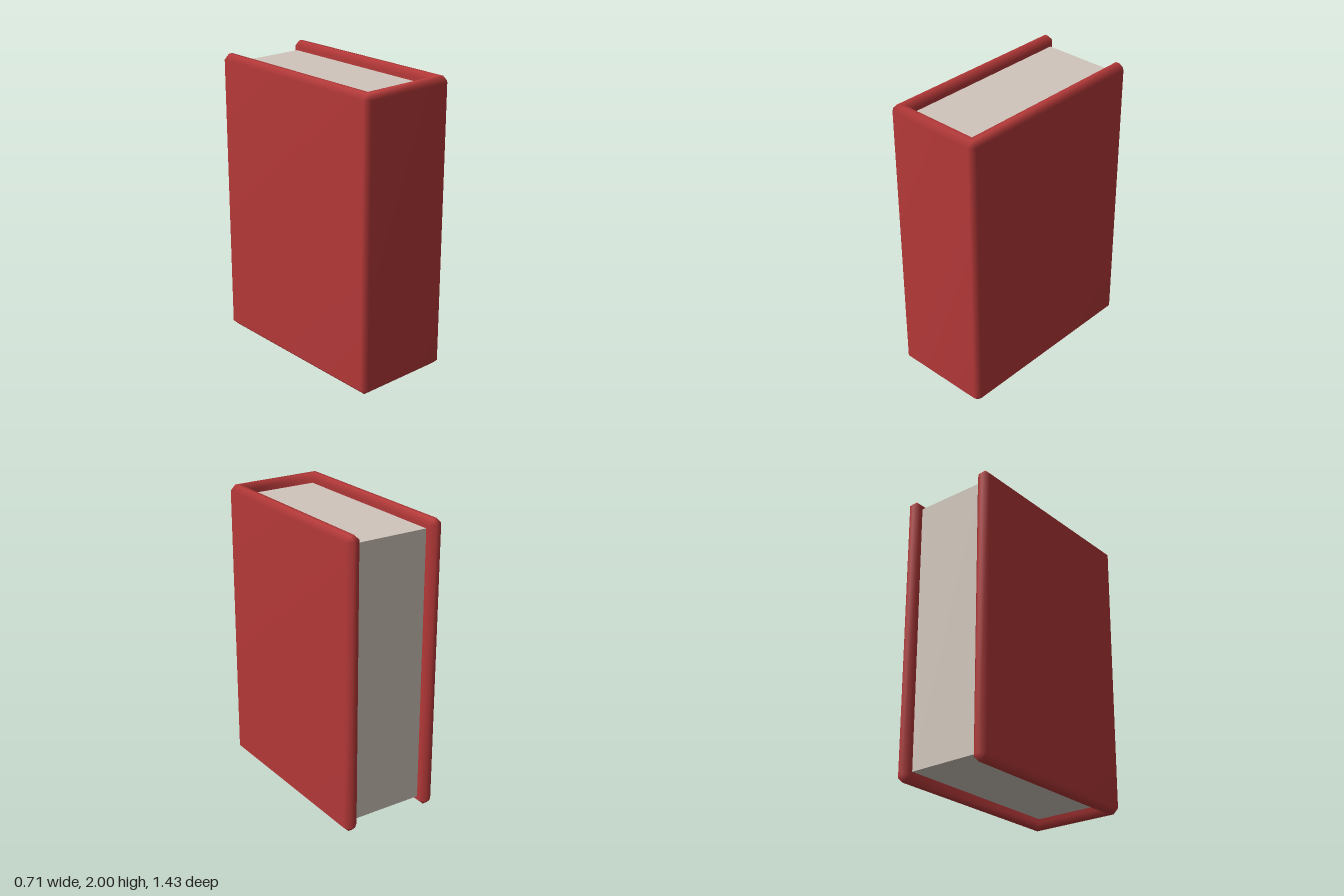
import * as THREE from 'three';
import { mergeVertices } from 'three/addons/utils/BufferGeometryUtils.js';

const H = 2, W = 0.355, D = 0.713; // height, half width, half depth
const T = 0.1, B = 0.036;          // board thickness, edge bevel

// U-shaped binding: bevelled outline rings joined into one smooth shell
function coverGeometry() {
  const wi = W - T, zi = D - T;
  const corners = [[-W, -D], [-W, D], [W, D], [W, -D], [wi, -D], [wi, zi], [-wi, zi], [-wi, -D]]
    .map(([x, z]) => new THREE.Vector2(x, z));
  const n = corners.length;
  const outline = [], inset = [], first = [];
  corners.forEach((p, i) => {
    const d0 = p.clone().sub(corners[(i + n - 1) % n]).normalize();
    const d1 = corners[(i + 1) % n].clone().sub(p).normalize();
    const q = new THREE.Vector2(p.x + B * (d0.y + d1.y), p.y - B * (d0.x + d1.x));
    first.push(outline.length);
    if (d0.cross(d1) < 0) { // outer corners are cut off
      outline.push(p.clone().addScaledVector(d0, -B), p.clone().addScaledVector(d1, B));
      inset.push(q, q);
    } else {
      outline.push(p);
      inset.push(q);
    }
  });

  const rings = [[inset, 0], [outline, B], [outline, H - B], [inset, H]];
  const m = outline.length, pos = [], idx = [];
  for (const [ring, y] of rings) for (const p of ring) pos.push(p.x, y, p.y);
  const quad = (a, b, c, d) => idx.push(a, b, c, a, c, d);
  for (let r = 0; r < 3; r++) {
    for (let i = 0; i < m; i++) {
      const j = (i + 1) % m;
      quad(r * m + i, r * m + j, (r + 1) * m + j, (r + 1) * m + i);
    }
  }
  // flat strips on the top and bottom rims
  for (const strip of [[0, 1, 6, 7], [1, 2, 5, 6], [2, 3, 4, 5]]) {
    const [a, b, c, d] = strip.map((k) => first[k]);
    const t = 3 * m;
    quad(t + a, t + b, t + c, t + d);
    quad(d, c, b, a);
  }
  let geo = new THREE.BufferGeometry();
  geo.setAttribute('position', new THREE.Float32BufferAttribute(pos, 3));
  geo.setIndex(idx);
  geo = mergeVertices(geo);
  geo.computeVertexNormals();
  return geo;
}

export function createModel() {
  const red = new THREE.MeshStandardMaterial({ color: 0xb43838 });
  red.name = 'coverRed';
  const paper = new THREE.MeshStandardMaterial({ color: 0xd0c5bb });
  paper.name = 'paperGrey';

  const book = new THREE.Group();
  book.name = 'book';

  const cover = new THREE.Mesh(coverGeometry(), red);
  cover.name = 'cover';

  // page block, recessed at top, bottom and back
  const zBack = -0.658, zFront = D - T + 0.002;
  const pages = new THREE.Mesh(
    new THREE.BoxGeometry(2 * (W - T) + 0.004, H - 0.12, zFront - zBack), paper);
  pages.position.set(0, H / 2, (zFront + zBack) / 2);
  pages.name = 'pages';

  book.add(cover, pages);
  return book;
}
